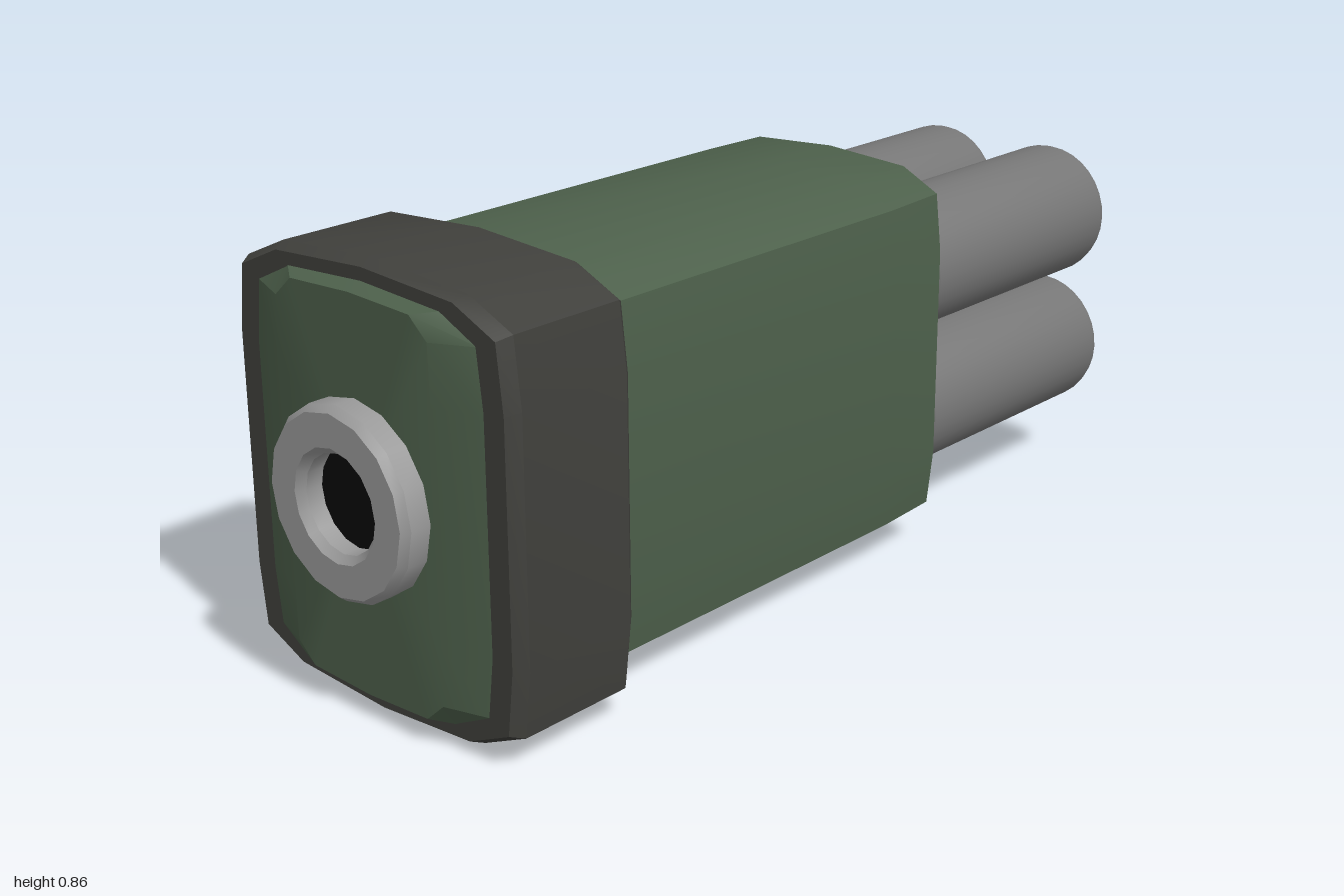
import * as THREE from 'three';
import { toCreasedNormals } from 'three/addons/utils/BufferGeometryUtils.js';

const CY = 0.431; // height of the long axis

const paint = (color) => new THREE.MeshStandardMaterial({ color });

// Mirrors a quarter outline (side to top, last point on x = 0) into a closed counter-clockwise loop
function fullOutline(q) {
  const half = [...q, ...q.slice(0, -1).reverse().map(([x, y]) => [-x, y])];
  return [...half, ...half.map(([x, y]) => [-x, -y])];
}

// Skins a row of { z, q } sections, back to front, with capped ends
function loft(sections) {
  const pos = [], idx = [];
  const rings = sections.map(({ z, q }) => fullOutline(q).map(([x, y]) => [x, y + CY, z]));
  const n = rings[0].length;
  rings.forEach((r) => r.forEach((p) => pos.push(...p)));
  const back = rings.length * n, front = back + 1;
  pos.push(0, CY, sections[0].z, 0, CY, sections[sections.length - 1].z);
  for (let j = 0; j < n; j++) {
    const k = (j + 1) % n;
    for (let i = 0; i < rings.length - 1; i++) {
      const a = i * n + j, b = i * n + k;
      idx.push(a, b, b + n, a, b + n, a + n);
    }
    idx.push(back, k, j, front, back - n + j, back - n + k);
  }
  const g = new THREE.BufferGeometry();
  g.setAttribute('position', new THREE.Float32BufferAttribute(pos, 3));
  g.setIndex(idx);
  return toCreasedNormals(g, 0.45);
}

// Turned part along z; dir is +1 to point forward, -1 to point back
function turned(profile, sides, dir) {
  const pts = profile.map(([r, h]) => new THREE.Vector2(r, h));
  const g = new THREE.LatheGeometry(pts, sides).rotateX(dir * Math.PI / 2);
  return toCreasedNormals(g, 0.45);
}

export function createModel() {
  const group = new THREE.Group();
  const add = (name, geometry, color, x = 0, y = 0, z = 0) => {
    const mesh = new THREE.Mesh(geometry, paint(color));
    mesh.name = name;
    mesh.position.set(x, y, z);
    group.add(mesh);
  };

  // Main housing, with bevelled ends
  const hull = [[0.303, 0.22], [0.289, 0.339], [0.2, 0.382], [0, 0.394]];
  const slim = hull.map(([x, y]) => [x * 0.965, y]);
  const end = [[0.2, 0.22], [0.198, 0.335], [0.155, 0.374], [0, 0.381]];
  add('housing', loft([
    { z: -0.382, q: end }, { z: -0.36, q: slim }, { z: -0.2, q: hull },
    { z: 0.91, q: hull }, { z: 0.942, q: end },
  ]), 0x4d604b);

  // Thick collar around the front of the housing
  const rim = [[0.36, 0.237], [0.345, 0.367], [0.24, 0.414], [0, 0.429]];
  const inset = rim.map(([x, y]) => [x * 0.958, y * 0.975]);
  add('collar', loft([
    { z: 0.62, q: inset }, { z: 0.638, q: rim },
    { z: 0.885, q: rim }, { z: 0.912, q: inset },
  ]), 0x40403c);

  // Ring on the front face, with a dark opening
  add('frontRing', turned([
    [0.184, 0.9], [0.184, 0.985], [0.172, 1], [0.108, 1], [0.094, 0.985], [0.094, 0.945],
  ], 16, 1), 0x999999, 0.003, 0.437);
  add('frontOpening', new THREE.CircleGeometry(0.1, 16), 0x080808, 0.003, 0.437, 0.95);

  // Four hollow barrels at the back
  const barrel = turned([
    [0, 0.34], [0.128, 0.34], [0.146, 0.37], [0.146, 0.975], [0.141, 0.992], [0.129, 1],
    [0.115, 1], [0.106, 0.985], [0.106, 0.5], [0, 0.5],
  ], 32, -1);
  for (const x of [-0.152, 0.144])
    for (const y of [0.281, 0.588]) add('barrel', barrel, 0x777777, x, y);

  return group;
}
